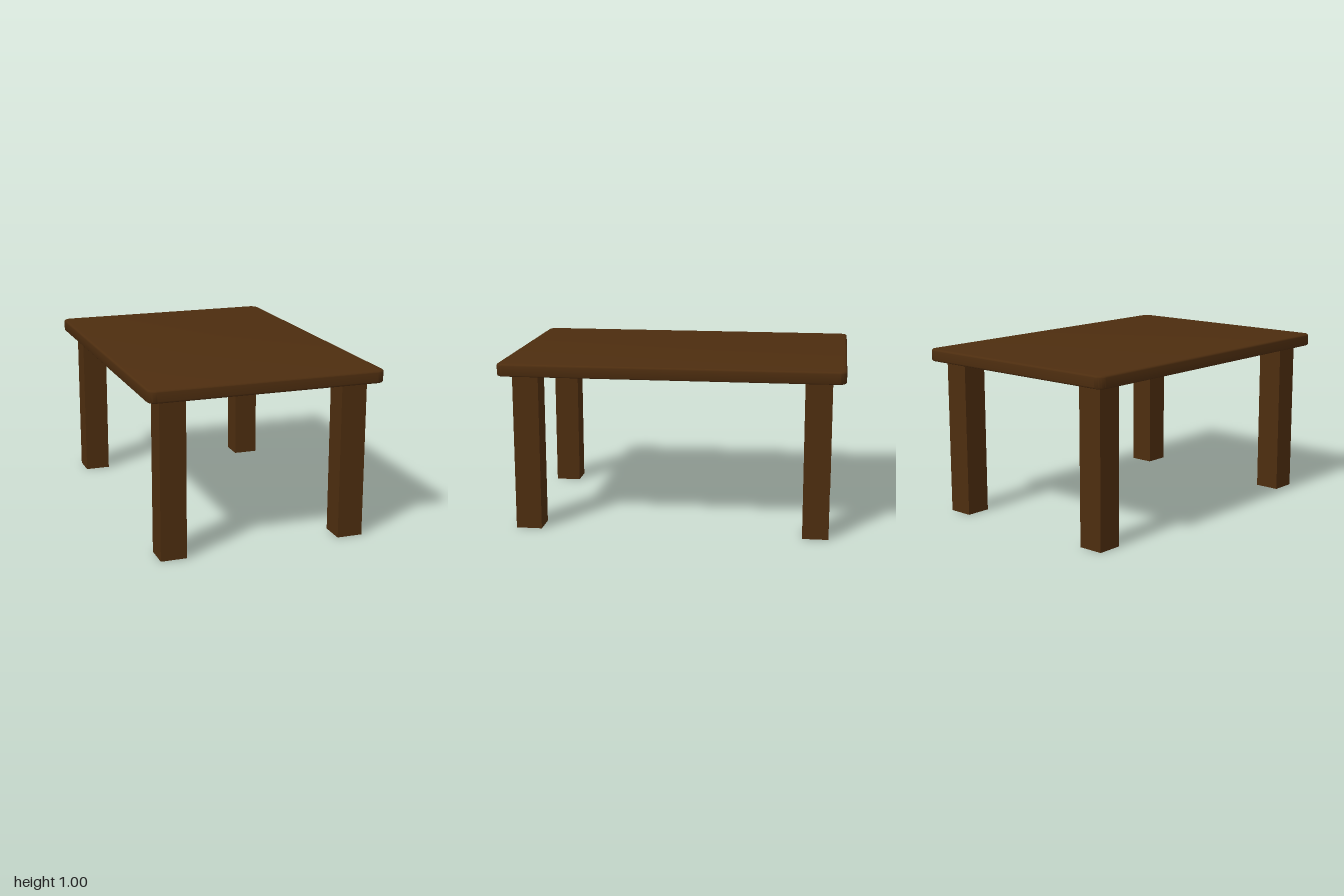
import * as THREE from 'three';
import { toCreasedNormals } from 'three/addons/utils/BufferGeometryUtils.js';

const WIDTH = 1.385, LENGTH = 2, HEIGHT = 1, THICKNESS = 0.073;
const CORNER = 0.05, BEVEL = 0.012;
const LEG = 0.152, LEG_X = 0.537, LEG_Z = 0.846;

// Rectangle with rounded corners, centred on the origin
function roundedRect(w, l, r) {
  const x = w / 2, y = l / 2, s = new THREE.Shape();
  s.absarc(x - r, y - r, r, 0, Math.PI / 2);
  s.absarc(-x + r, y - r, r, Math.PI / 2, Math.PI);
  s.absarc(-x + r, -y + r, r, Math.PI, Math.PI * 1.5);
  s.absarc(x - r, -y + r, r, Math.PI * 1.5, Math.PI * 2);
  s.closePath();
  return s;
}

export function createModel() {
  const table = new THREE.Group();
  table.name = 'table';
  const wood = new THREE.MeshStandardMaterial({ color: 0x4d2d0f });
  wood.name = 'dark brown wood';

  // Slab with rounded corners and softly eased edges
  const slab = new THREE.ExtrudeGeometry(
    roundedRect(WIDTH - 2 * BEVEL, LENGTH - 2 * BEVEL, CORNER - BEVEL),
    { depth: THICKNESS - 2 * BEVEL, bevelSize: BEVEL, bevelThickness: BEVEL, bevelSegments: 4, curveSegments: 8 }
  );
  slab.rotateX(-Math.PI / 2);
  slab.translate(0, HEIGHT - THICKNESS + BEVEL, 0);
  const top = new THREE.Mesh(toCreasedNormals(slab, Math.PI / 5), wood);
  top.name = 'tableTop';
  table.add(top);

  // Four square legs
  const legHeight = HEIGHT - THICKNESS;
  const legGeometry = new THREE.BoxGeometry(LEG, legHeight, LEG);
  for (const [sideName, sx] of [['Left', 1], ['Right', -1]]) {
    for (const [endName, sz] of [['front', 1], ['back', -1]]) {
      const leg = new THREE.Mesh(legGeometry, wood);
      leg.name = `${endName}${sideName}Leg`;
      leg.position.set(sx * LEG_X, legHeight / 2, sz * LEG_Z);
      table.add(leg);
    }
  }
  return table;
}
